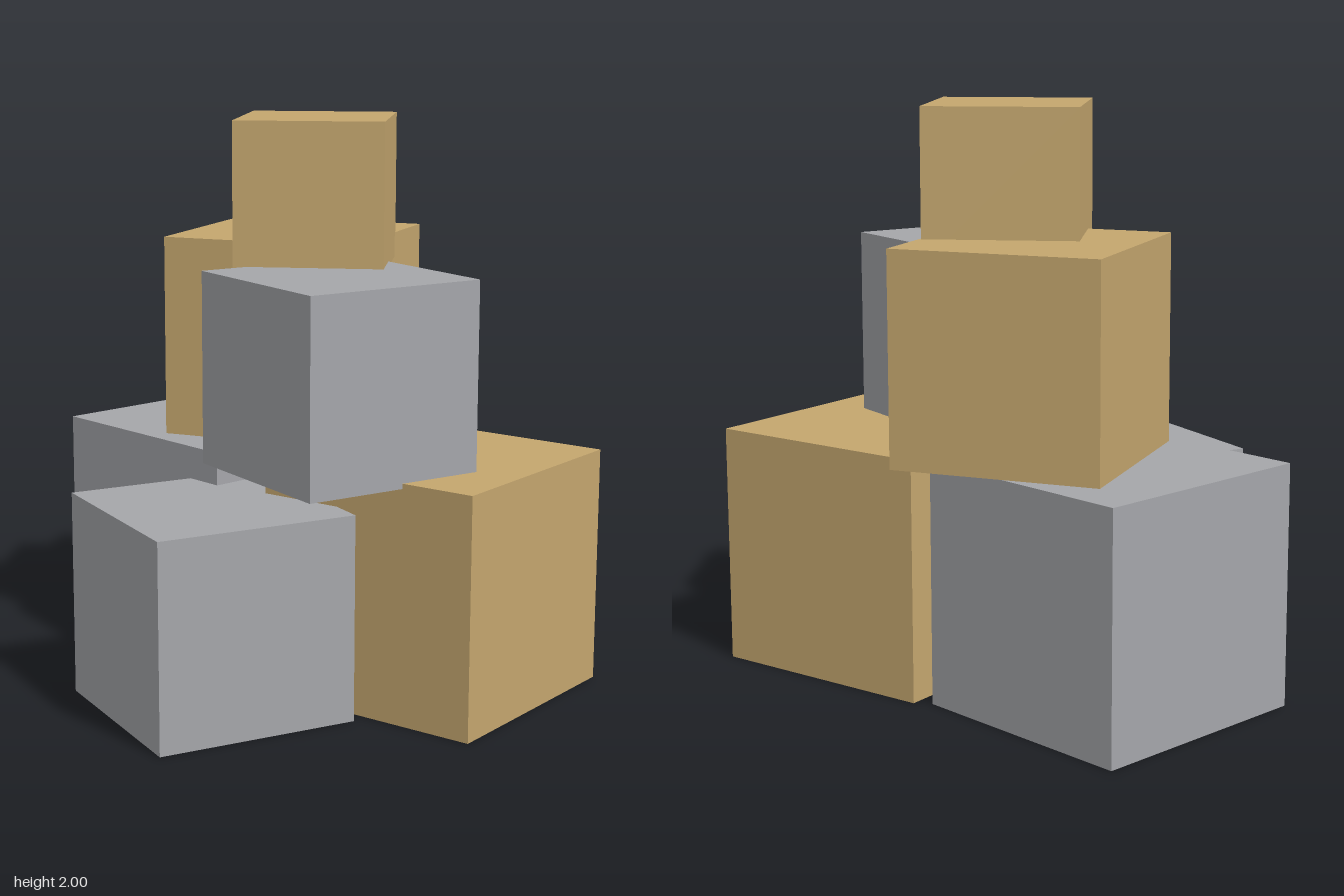
import * as THREE from 'three';

const tan = new THREE.MeshStandardMaterial({ name: 'tan', color: 0xc4a66e });
const grey = new THREE.MeshStandardMaterial({ name: 'grey', color: 0xa5a6aa });

// name, material, edge length, centre x, base y, centre z, turn about y
const CUBES = [
  ['lowerRightCube', grey, 0.84, -0.517, 0, -0.22, 0],
  ['lowerLeftCube', tan, 0.843, 0.442, 0, -0.34, 0.177],
  ['lowerFrontCube', grey, 0.723, 0.083, 0, 0.385, -0.26],
  ['middleLeftCube', grey, 0.673, 0.327, 0.825, 0.02, -0.172],
  ['middleRightCube', tan, 0.721, -0.278, 0.845, -0.34, 0.44],
  ['topCube', tan, 0.523, -0.036, 1.477, -0.219, 0.7],
];

export function createModel() {
  const group = new THREE.Group();
  group.name = 'cubePile';
  for (const [name, material, size, x, y, z, turn] of CUBES) {
    const cube = new THREE.Mesh(new THREE.BoxGeometry(size, size, size), material);
    cube.name = name;
    cube.position.set(x, y + size / 2, z);
    cube.rotation.y = turn;
    group.add(cube);
  }
  return group;
}
